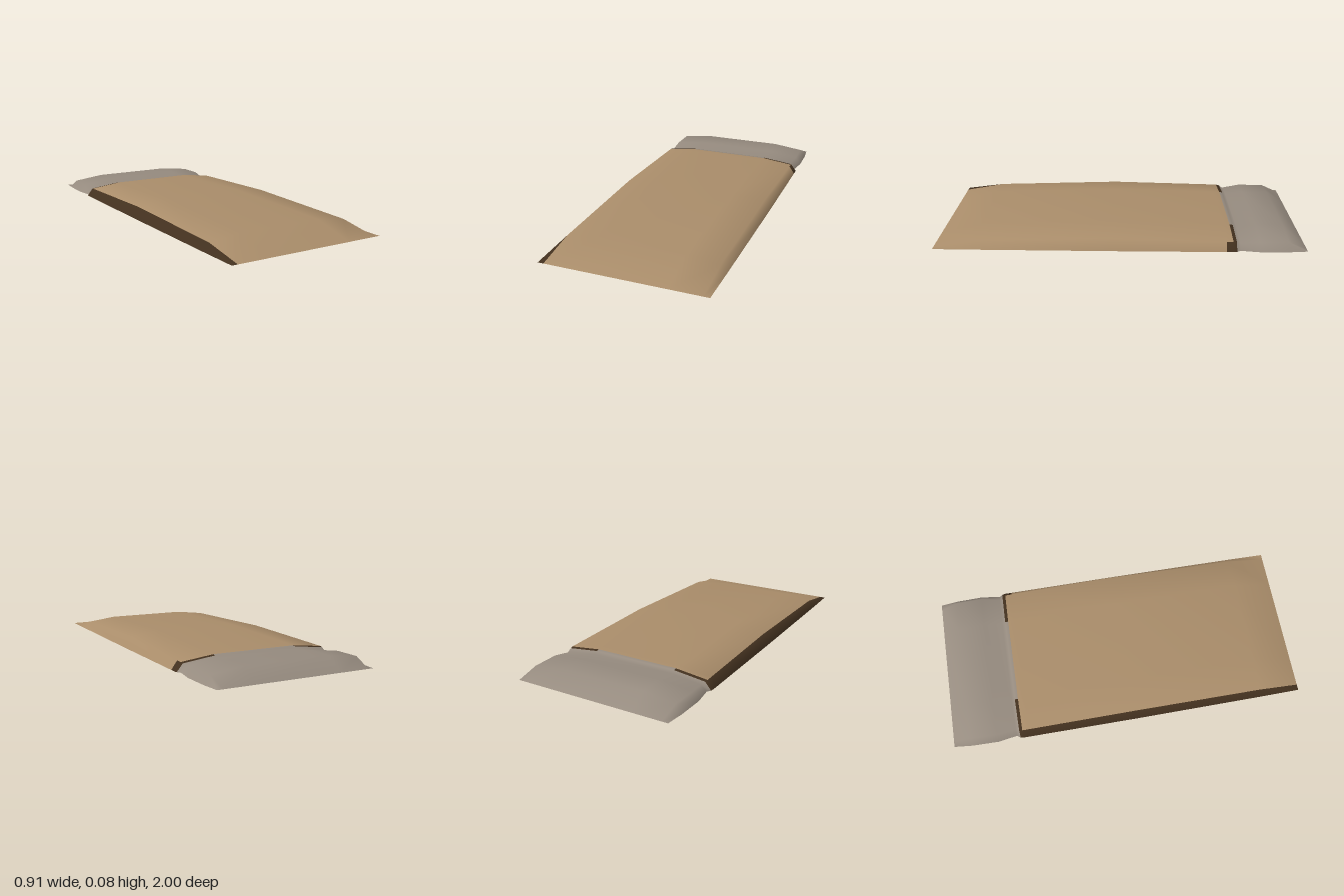
import * as THREE from 'three';

// Rows along the bed, front to back: [z, crown height, half width at the floor]
const ROWS = [
  [1, 0, 0.445], [0.77, 0.061, 0.448], [0.04, 0.08, 0.453], [-0.57, 0.065, 0.453],
  [-0.607, 0.064, 0.453], [-0.625, 0.061, 0.45], [-0.645, 0.05, 0.437],
  [-0.75, 0.064, 0.453], [-0.9, 0.065, 0.45], [-1, 0, 0.44],
];
const EDGE_ROW = 4; // hem strip
const PILLOW_ROW = 5; // first row of the pillow

// Six points across one row: floor, shoulder, crown, mirrored
function section([z, h, w]) {
  const shoulder = Math.max(0, h - 0.021);
  const half = [[w, 0], [w - 0.032, shoulder], [0.24, h]];
  return [
    ...half.map(([x, y]) => [-x, y, z]),
    ...half.reverse().map(([x, y]) => [x, y, z]),
  ];
}

export function createModel() {
  const group = new THREE.Group();
  const tan = new THREE.MeshStandardMaterial({ name: 'tan blanket', color: 0xab8e6b });
  const grey = new THREE.MeshStandardMaterial({ name: 'grey linen', color: 0x978c80 });
  const dark = new THREE.MeshStandardMaterial({ name: 'dark brown', color: 0x43311f });

  // One smooth surface, whose cells are shared out to the parts
  const loft = new THREE.BufferGeometry();
  const points = ROWS.flatMap(section);
  loft.setAttribute('position', new THREE.Float32BufferAttribute(points.flat(), 3));
  const parts = { blanket: [], pillow: [], darkHem: [] };
  for (let i = 0; i < ROWS.length - 1; i++) {
    for (let j = 0; j < 5; j++) {
      const a = i * 6 + j, d = a + 6;
      const isDark = i < PILLOW_ROW
        && (j === 0 || (j === 4 && i >= 3) || (i === EDGE_ROW && j !== 2));
      const isPillow = i >= PILLOW_ROW || (i === EDGE_ROW && j === 2);
      const name = isDark ? 'darkHem' : isPillow ? 'pillow' : 'blanket';
      parts[name].push(a, a + 1, d + 1, a, d + 1, d);
    }
  }
  loft.setIndex(Object.values(parts).flat());
  loft.computeVertexNormals();

  const add = (name, geometry, material) => {
    const mesh = new THREE.Mesh(geometry, material);
    mesh.name = name;
    group.add(mesh);
  };
  const materials = { blanket: tan, pillow: grey, darkHem: dark };
  for (const name in parts) {
    const piece = loft.clone();
    piece.setIndex(parts[name]);
    add(name, piece.toNonIndexed(), materials[name]);
  }

  // Flat underside beneath a run of rows
  const underside = (rows) => {
    const geometry = new THREE.BufferGeometry();
    const corners = rows.flatMap(([z, , w]) => [-w, 0, z, w, 0, z]);
    const index = [];
    for (let i = 0; i < rows.length - 1; i++) {
      const a = i * 2;
      index.push(a, a + 3, a + 1, a, a + 2, a + 3);
    }
    geometry.setAttribute('position', new THREE.Float32BufferAttribute(corners, 3));
    geometry.setIndex(index);
    geometry.computeVertexNormals();
    return geometry;
  };
  add('blanketUnderside', underside(ROWS.slice(0, PILLOW_ROW + 1)), tan);
  add('pillowUnderside', underside(ROWS.slice(PILLOW_ROW)), grey);
  return group;
}
